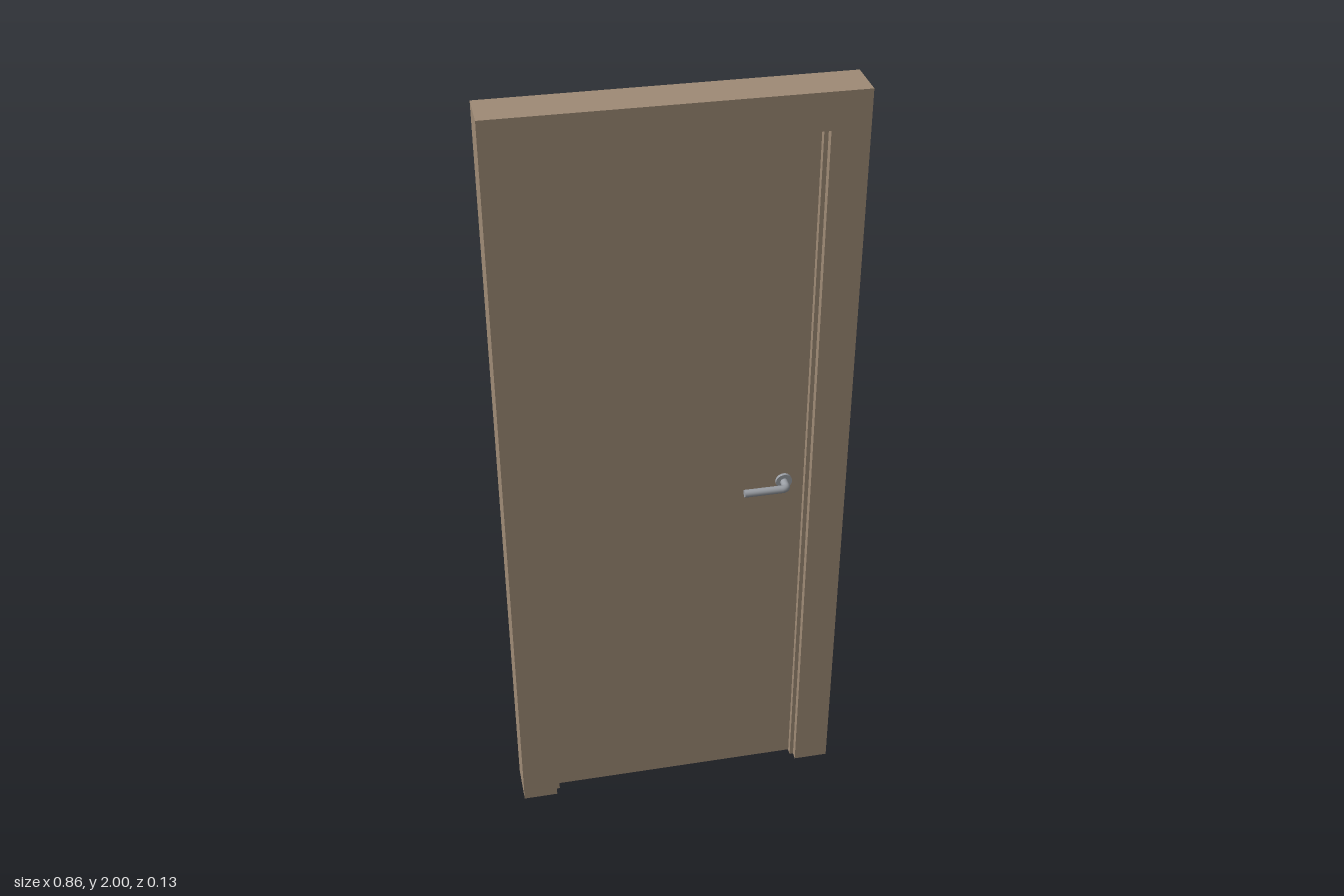
import * as THREE from 'three';

const wood = new THREE.MeshStandardMaterial({ color: 0x9f8b76 });
wood.name = 'brownWood';
const metal = new THREE.MeshStandardMaterial({ color: 0x9a9ea4 });
metal.name = 'greyMetal';

function add(parent, name, geometry, material) {
  const mesh = new THREE.Mesh(geometry, material);
  mesh.name = name;
  parent.add(mesh);
  return mesh;
}

// Upside-down U standing on the floor, centred in depth
function archGeometry(outerX, outerY, innerX, innerY, depth) {
  const shape = new THREE.Shape([
    [-outerX, 0], [-innerX, 0], [-innerX, innerY], [innerX, innerY],
    [innerX, 0], [outerX, 0], [outerX, outerY], [-outerX, outerY],
  ].map(([x, y]) => new THREE.Vector2(x, y)));
  return new THREE.ExtrudeGeometry(shape, { depth, bevelEnabled: false }).translate(0, 0, -depth / 2);
}

// Lever handle on a panel face at z = 0, pointing to -x
function createHandle() {
  const handle = new THREE.Group();
  const r = 0.01, reach = 0.038, bend = 0.013, leverEnd = -0.11;
  add(handle, 'handleRose',
    new THREE.CylinderGeometry(0.021, 0.021, 0.008, 24).rotateX(Math.PI / 2).translate(0, 0, 0.004), metal);

  // Neck, rounded elbow and lever in one bent bar
  const path = new THREE.CurvePath();
  const v = (x, z) => new THREE.Vector3(x, 0, z);
  path.add(new THREE.LineCurve3(v(0, 0), v(0, reach - bend)));
  path.add(new THREE.QuadraticBezierCurve3(v(0, reach - bend), v(0, reach), v(-bend, reach)));
  path.add(new THREE.LineCurve3(v(-bend, reach), v(leverEnd, reach)));
  add(handle, 'handleLever', new THREE.TubeGeometry(path, 60, r, 16), metal);

  // Flat end of the lever
  add(handle, 'handleLeverEnd',
    new THREE.CircleGeometry(r, 16).rotateY(-Math.PI / 2).translate(leverEnd, 0, reach), metal);
  return handle;
}

export function createModel() {
  const model = new THREE.Group();
  model.name = 'door';

  // Fixed frame with the door stop inside it
  add(model, 'doorFrame', archGeometry(0.432, 2, 0.341, 1.91, 0.11), wood);
  add(model, 'doorStop', archGeometry(0.345, 1.914, 0.331, 1.902, 0.07), wood);

  // Door leaf
  const halfLeaf = 0.019;
  add(model, 'doorLeaf',
    new THREE.BoxGeometry(0.664, 1.9, halfLeaf * 2).translate(0, 0.953, 0), wood);

  // Handles on both faces, mirrored in depth
  const front = createHandle();
  front.name = 'frontHandle';
  front.position.set(0.279, 0.957, halfLeaf);
  const back = createHandle();
  back.name = 'backHandle';
  back.position.set(0.279, 0.957, -halfLeaf);
  back.scale.z = -1;
  model.add(front, back);
  return model;
}
